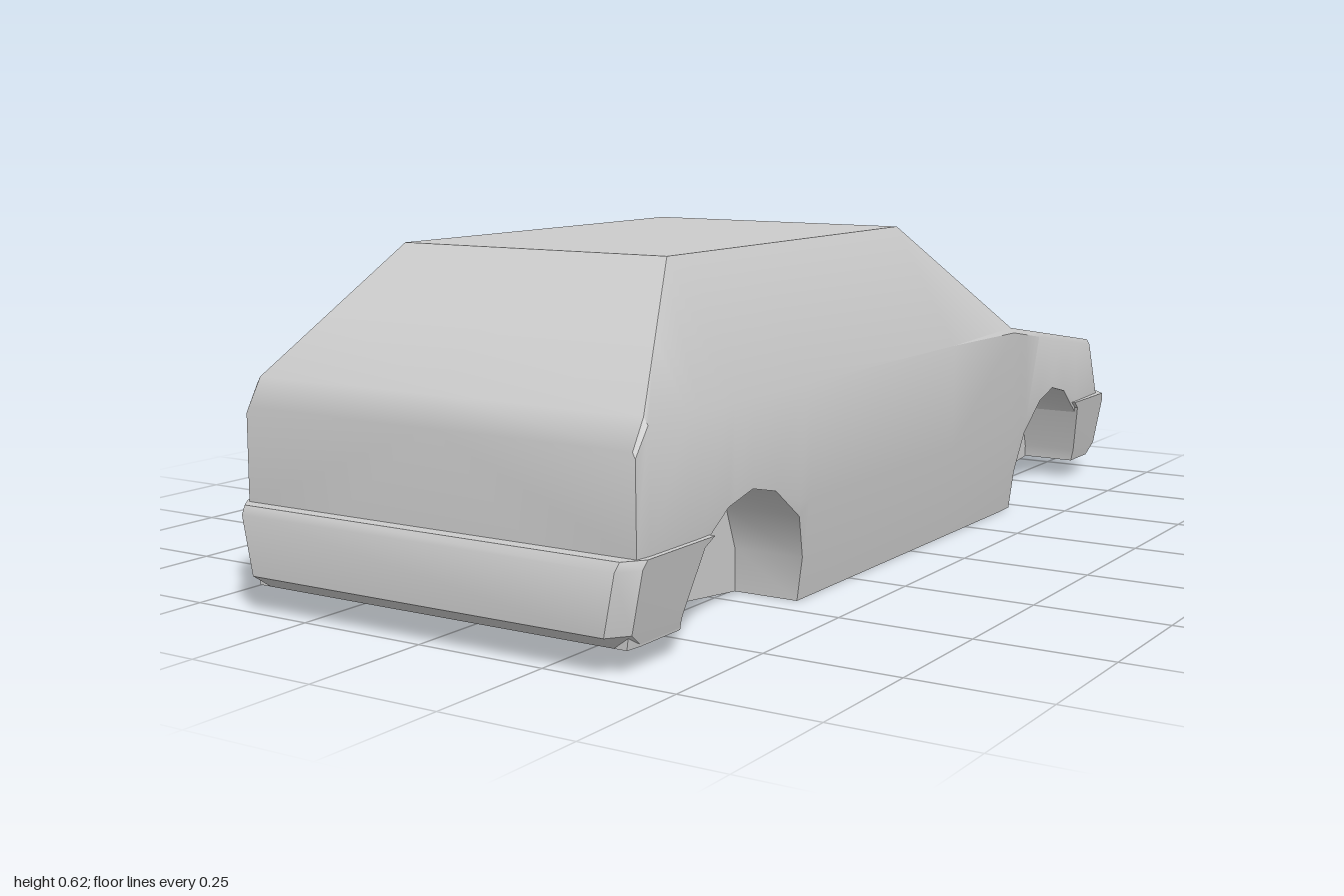
import * as THREE from 'three';
import { toCreasedNormals } from 'three/addons/utils/BufferGeometryUtils.js';

const grey = new THREE.MeshStandardMaterial({ color: 0xcccccc });

// Skins a list of equal-length rings and closes both ends.
function loft(rings, crease) {
  const n = rings[0].length, last = rings.length - 1, pos = [];
  const tri = (a, b, c) => {
    const area = new THREE.Triangle(a, b, c).getArea();
    if (area > 1e-7) for (const p of [a, b, c]) pos.push(p.x, p.y, p.z);
  };
  for (let j = 0; j < last; j++) {
    for (let i = 0; i < n; i++) {
      const k = (i + 1) % n;
      const a = rings[j][i], b = rings[j][k], c = rings[j + 1][k], d = rings[j + 1][i];
      tri(a, d, c);
      tri(a, c, b);
    }
  }
  for (let i = 1; i < n - 1; i++) {
    tri(rings[0][0], rings[0][i], rings[0][i + 1]);
    tri(rings[last][0], rings[last][i + 1], rings[last][i]);
  }
  const geo = new THREE.BufferGeometry();
  geo.setAttribute('position', new THREE.Float32BufferAttribute(pos, 3));
  return toCreasedNormals(geo, crease);
}

// Body outline along its length: z, top y, top edge x, belt x, belt y, waist x
const PROFILE = [
  [-0.955, 0.31, 0.36, 0.367, 0.298, 0.385],
  [-0.42, 0.395, 0.402, 0.41, 0.385, 0.41],
  [-0.13, 0.62, 0.28, 0.41, 0.39, 0.41],
  [0.69, 0.62, 0.28, 0.41, 0.39, 0.41],
  [0.935, 0.4, 0.4, 0.408, 0.387, 0.41],
  [0.965, 0.35, 0.4, 0.405, 0.34, 0.406],
];

function profileAt(z) {
  let i = 0;
  while (i < PROFILE.length - 2 && z > PROFILE[i + 1][0]) i++;
  const a = PROFILE[i], b = PROFILE[i + 1], t = (z - a[0]) / (b[0] - a[0]);
  return a.map((v, k) => v + (b[k] - v) * t);
}

// Wheel arch: offset from the wheel centre, height of the opening
const ARCH = [[-0.19, 0], [-0.19, 0.08], [-0.16, 0.16], [-0.075, 0.22], [0, 0.237],
  [0.075, 0.22], [0.16, 0.16], [0.19, 0.08], [0.19, 0]];
const REAR_AXLE = 0.633, FRONT_AXLE = -0.66, WELL_X = 0.257, WAIST_Y = 0.185;

function bodySection(z, archY) {
  const [, topY, topX, beltX, beltY, waistX] = profileAt(z);
  const rise = z > 0 ? (z - 0.44) / 0.38 : (-0.47 - z) / 0.38;
  const floorY = 0.04 * THREE.MathUtils.clamp(rise, 0, 1);
  const lowY = Math.max(archY, floorY);
  const lowX = waistX - 0.025 * Math.max(0, 1 - lowY / WAIST_Y);
  const side = [[topX, topY], [beltX, beltY], [waistX, Math.max(WAIST_Y, lowY)],
    [lowX, lowY], [WELL_X, lowY], [WELL_X, floorY]];
  const mirrored = side.map(([x, y]) => [-x, y]).reverse();
  return [[0, topY], ...side, [0, floorY], ...mirrored]
    .map(([x, y]) => new THREE.Vector3(x, y, z));
}

function makeBody() {
  const stations = PROFILE.map((p) => [p[0], 0]);
  for (const axle of [FRONT_AXLE, REAR_AXLE]) {
    // the rear glass and roof break falls inside the rear arch
    for (const [dz, y] of ARCH) stations.push([axle + dz, y]);
  }
  // give profile stations inside an arch the arch height
  for (const s of stations.slice(0, PROFILE.length)) {
    const d = s[0] - REAR_AXLE;
    for (let i = 1; i < ARCH.length - 2; i++) {
      const [z0, y0] = ARCH[i], [z1, y1] = ARCH[i + 1];
      if (d > z0 && d < z1) s[1] = y0 + (y1 - y0) * (d - z0) / (z1 - z0);
    }
  }
  stations.sort((a, b) => a[0] - b[0]);
  return loft(stations.map(([z, y]) => bodySection(z, y)), 0.6);
}

// Wrap-around bumper, levels: y, half width, inner z, outer z
function makeBumper() {
  const levels = [
    [0.04, 0.39, 0.825, 0.965],
    [0.065, 0.396, 0.824, 1],
    [0.17, 0.417, 0.79, 1],
    [0.185, 0.42, 0.765, 0.99],
  ];
  const rings = levels.map(([y, w, zIn, zOut]) => {
    const side = [[w, zIn], [w, zOut - 0.035], [w - 0.028, zOut]];
    const mirrored = side.map(([x, z]) => [-x, z]).reverse();
    return [...side, ...mirrored].map(([x, z]) => new THREE.Vector3(x, y, z));
  });
  return loft(rings, 0.6);
}

export function createModel() {
  const car = new THREE.Group();
  car.name = 'hatchbackBody';
  const add = (name, geometry) => {
    const mesh = new THREE.Mesh(geometry, grey);
    mesh.name = name;
    car.add(mesh);
    return mesh;
  };

  add('bodyShell', makeBody());
  add('rearBumper', makeBumper());

  // The front bumper is slightly narrower and starts ahead of the front arch
  const front = makeBumper();
  const p = front.attributes.position;
  for (let i = 0; i < p.count; i++) {
    p.setX(i, p.getX(i) * 0.95);
    p.setZ(i, 1 - (1 - p.getZ(i)) * 0.87);
  }
  front.rotateY(Math.PI);
  add('frontBumper', front);

  // Round headlights
  for (const side of [-1, 1]) {
    const lamp = new THREE.CylinderGeometry(0.046, 0.046, 0.025, 24);
    lamp.rotateX(Math.PI / 2);
    const mesh = add(side > 0 ? 'leftHeadlight' : 'rightHeadlight', lamp);
    mesh.position.set(side * 0.283, 0.25, -0.96);
  }
  return car;
}
